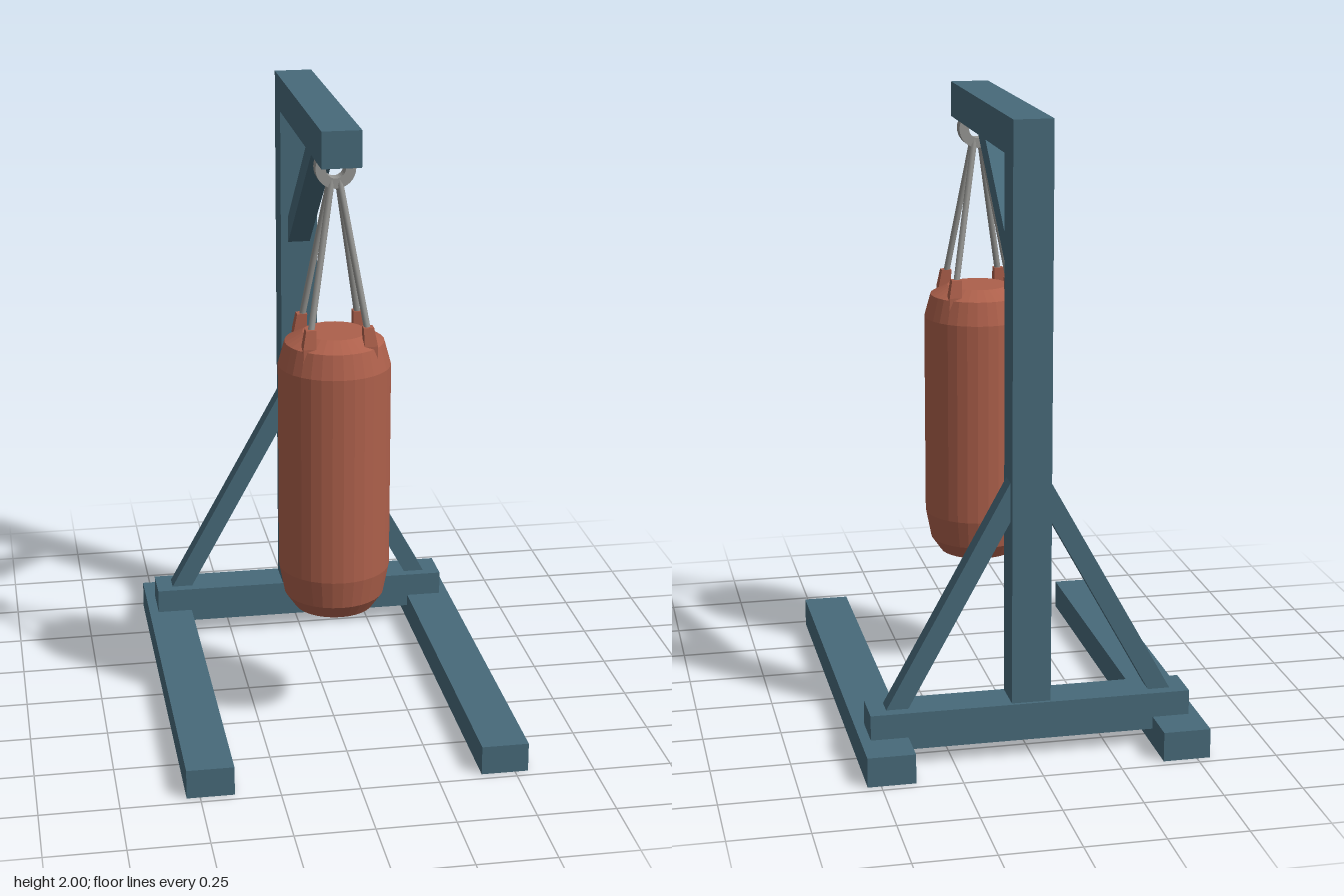
import * as THREE from 'three';

export function createModel() {
  const model = new THREE.Group();
  const mat = (name, color, flatShading = false) => {
    const m = new THREE.MeshStandardMaterial({ color, flatShading });
    m.name = name;
    return m;
  };
  const steel = mat('blue painted steel', 0x476a7a);
  const leather = mat('red brown leather', 0xad604b, true);
  const metal = mat('grey metal', 0x979794);

  const add = (name, geometry, material) => {
    const mesh = new THREE.Mesh(geometry, material);
    mesh.name = name;
    model.add(mesh);
    return mesh;
  };
  // Box given by its limits on each axis
  const beam = (name, [x0, x1], [y0, y1], [z0, z1]) =>
    add(name, new THREE.BoxGeometry(x1 - x0, y1 - y0, z1 - z0), steel)
      .position.set((x0 + x1) / 2, (y0 + y1) / 2, (z0 + z1) / 2);
  // Flat outline extruded symmetrically about its plane
  const plate = (points, depth) => new THREE.ExtrudeGeometry(
    new THREE.Shape(points.map(p => new THREE.Vector2(...p))),
    { depth, bevelEnabled: false }).translate(0, 0, -depth / 2);

  // Frame
  beam('leftFoot', [0.392, 0.542], [0, 0.095], [-0.722, 0.722]);
  beam('rightFoot', [-0.542, -0.392], [0, 0.095], [-0.722, 0.722]);
  beam('crossBeam', [-0.51, 0.51], [0.055, 0.175], [-0.59, -0.457]);
  beam('post', [-0.062, 0.062], [0.1, 1.885], [-0.579, -0.461]);
  beam('topArm', [-0.062, 0.062], [1.885, 2], [-0.579, 0.373]);

  // Diagonal braces beside the post
  for (const s of [1, -1]) {
    const brace = add(s > 0 ? 'leftBrace' : 'rightBrace',
      plate([[0.388, 0.17], [0.458, 0.17], [0.06, 0.89], [0.06, 0.765]], 0.062), steel);
    brace.position.z = -0.522;
    if (s < 0) brace.rotation.y = Math.PI, brace.position.z = -0.522;
  }
  // Brace between the post and the arm, outline in (z, y)
  add('armBrace', plate([[-0.465, 1.432], [0.072, 1.888], [-0.038, 1.888], [-0.465, 1.522]], 0.074)
    .rotateY(-Math.PI / 2), steel);

  // Hanging ring
  const ringShape = new THREE.Shape().absarc(0, 0, 0.063, 0, Math.PI * 2);
  ringShape.holes.push(new THREE.Path().absarc(0, 0, 0.031, 0, Math.PI * 2, true));
  add('hangingRing', new THREE.ExtrudeGeometry(ringShape,
    { depth: 0.044, bevelEnabled: false, curveSegments: 16 }), metal)
    .position.set(0, 1.861, 0.226);

  // Bag
  const bagZ = 0.248;
  const profile = [[0, 0.415], [0.127, 0.415], [0.16, 0.462], [0.178, 0.555],
    [0.178, 1.232], [0.157, 1.308], [0.1, 1.338], [0, 1.338]];
  add('bag', new THREE.LatheGeometry(profile.map(p => new THREE.Vector2(...p)), 32), leather)
    .position.z = bagZ;

  // Four straps with pointed tabs on the bag's shoulder
  for (const sx of [1, -1]) for (const sz of [1, -1]) {
    const tab = new THREE.BoxGeometry(0.036, 0.115, 0.036, 1, 2, 1);
    const p = tab.attributes.position;
    for (let i = 0; i < p.count; i++) {
      const y = p.getY(i);
      const taper = y < -0.01 ? 0.15 : y > 0.01 ? 0.9 : 1.15;
      const shift = y < -0.01 ? 0.115 : y > 0.01 ? 0.09 : 0.096;
      p.setXYZ(i, p.getX(i) * taper + sx * shift, y + 1.317, p.getZ(i) * taper + sz * shift);
    }
    tab.computeVertexNormals();
    add('strapTab', tab, leather).position.z = bagZ;

    const path = new THREE.LineCurve3(
      new THREE.Vector3(sx * 0.012, 1.825, bagZ + sz * 0.012),
      new THREE.Vector3(sx * 0.09, 1.355, bagZ + sz * 0.09));
    add('hangingRod', new THREE.TubeGeometry(path, 1, 0.0105, 8), metal);
  }
  return model;
}
